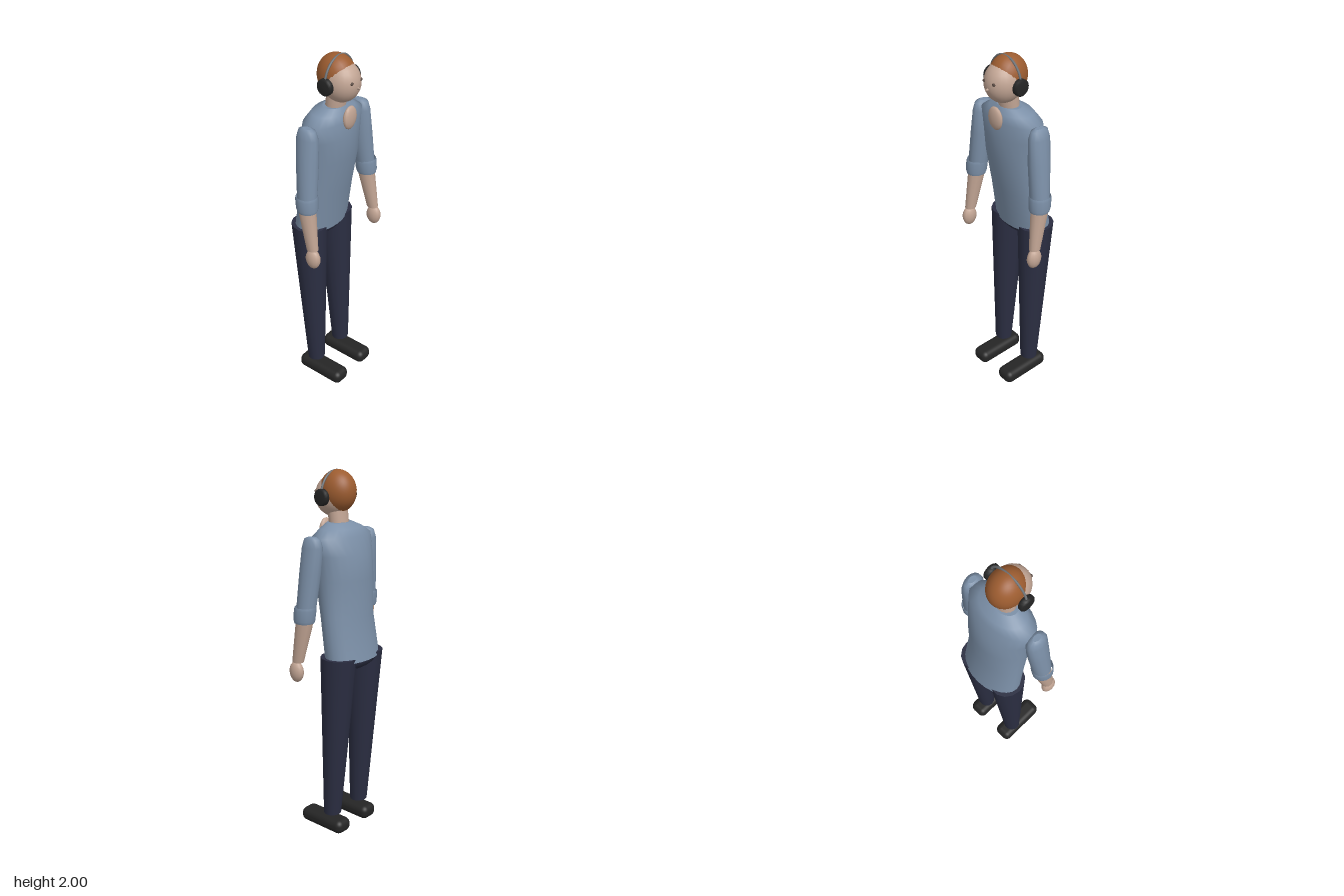
import * as THREE from 'three';
import { RoundedBoxGeometry } from 'three/addons/geometries/RoundedBoxGeometry.js';

const mat = (color, side = THREE.FrontSide) => new THREE.MeshStandardMaterial({ color, side });

// Smooth skin over elliptical rings [x, y, z, rx, rz], listed from top to bottom, with flat caps
function loft(rings, sides = 16, capped = true) {
  const pos = [], idx = [];
  const addRing = ([x, y, z, rx, rz]) => {
    for (let i = 0; i < sides; i++) {
      const a = (i / sides) * Math.PI * 2;
      pos.push(x + rx * Math.cos(a), y, z + rz * Math.sin(a));
    }
  };
  rings.forEach(addRing);
  for (let r = 0; r < rings.length - 1; r++) {
    for (let i = 0; i < sides; i++) {
      const j = (i + 1) % sides, p = r * sides, q = p + sides;
      idx.push(p + i, p + j, q + i, p + j, q + j, q + i);
    }
  }
  if (capped) {
    [rings[0], rings[rings.length - 1]].forEach((ring, end) => {
      const start = pos.length / 3;
      addRing(ring);
      pos.push(ring[0], ring[1], ring[2]);
      for (let i = 0; i < sides; i++) {
        const a = start + i, b = start + (i + 1) % sides;
        idx.push(start + sides, end ? a : b, end ? b : a);
      }
    });
  }
  const g = new THREE.BufferGeometry();
  g.setAttribute('position', new THREE.Float32BufferAttribute(pos, 3));
  g.setIndex(idx);
  g.computeVertexNormals();
  return g;
}

const ellipsoid = (rx, ry, rz, w = 24, h = 16) => new THREE.SphereGeometry(1, w, h).scale(rx, ry, rz);

export function createModel() {
  const model = new THREE.Group();
  model.name = 'standingMan';
  const skin = mat(0xc2a594), shirt = mat(0x7c90a8), cuffCloth = mat(0x7c90a8, THREE.DoubleSide);
  const trousers = mat(0x2b2e42), black = mat(0x252525), hairColor = mat(0x9c5c30);
  const metal = mat(0x6e7276), eyeColor = mat(0x5a4a42);

  const add = (name, geometry, material, x = 0, y = 0, z = 0) => {
    const m = new THREE.Mesh(geometry, material);
    m.name = name;
    m.position.set(x, y, z);
    model.add(m);
    return m;
  };

  // Shirt body, with a rounded upper back and hem leaning backwards
  add('shirt', loft([
    [0, 1.735, 0.023, 0.075, 0.055],
    [0, 1.708, 0.01, 0.135, 0.088],
    [0, 1.67, 0.008, 0.2, 0.106],
    [0, 1.58, -0.005, 0.185, 0.125],
    [0, 1.45, -0.015, 0.178, 0.13],
    [0, 1.25, -0.033, 0.175, 0.107],
    [0, 1.02, -0.07, 0.182, 0.11],
  ], 24), shirt);
  add('pelvis', ellipsoid(0.17, 0.075, 0.106), trousers, 0, 1.03, -0.07);

  // Head and face
  add('neck', loft([[0, 1.81, 0.035, 0.055, 0.05], [0, 1.69, 0.022, 0.057, 0.05]]), skin);
  add('head', ellipsoid(0.092, 0.107, 0.102), skin, 0, 1.866, 0.06);
  const nose = add('nose', new THREE.ConeGeometry(0.017, 0.04, 6), skin, 0, 1.853, 0.158);
  nose.rotation.x = Math.PI / 2;
  add('throatPiece', ellipsoid(0.05, 0.062, 0.02, 12, 10), skin, 0, 1.685, 0.115);

  // Hair cap tipped towards the back of the head
  const hair = new THREE.SphereGeometry(1, 28, 16, 0, Math.PI * 2, 0, 1.9);
  hair.rotateX(-0.75).scale(0.089, 0.11, 0.102);
  add('hair', hair, mat(0x9c5c30, THREE.DoubleSide), 0, 1.89, 0.032);

  // Headphone band over the head
  const band = [];
  for (let i = 0; i <= 12; i++) {
    const a = (i / 12) * Math.PI;
    band.push(new THREE.Vector3(0.112 * Math.cos(a), 1.87 + 0.124 * Math.sin(a), 0.047));
  }
  add('headphoneBand', new THREE.TubeGeometry(new THREE.CatmullRomCurve3(band), 32, 0.006, 8), metal);

  // Bevelled ear cup profile, turned around the sideways axis
  const cupProfile = [[0, -0.018], [0.034, -0.018], [0.043, -0.01], [0.043, 0.01], [0.034, 0.018], [0, 0.018]]
    .map(([r, h]) => new THREE.Vector2(r, h));

  for (const s of [1, -1]) {
    const side = s > 0 ? 'left' : 'right';
    add(side + 'Eye', ellipsoid(0.01, 0.008, 0.006, 10, 8), eyeColor, s * 0.035, 1.885, 0.152);
    const cup = add(side + 'EarCup', new THREE.LatheGeometry(cupProfile, 20), black, s * 0.108, 1.866, 0.047);
    cup.rotation.z = Math.PI / 2;

    // Sleeve, rolled cuff, forearm and hand
    add(side + 'Sleeve', loft([
      [s * 0.212, 1.682, 0.018, 0.015, 0.025],
      [s * 0.212, 1.672, 0.018, 0.032, 0.048],
      [s * 0.212, 1.63, 0.018, 0.042, 0.062],
      [s * 0.222, 1.5, 0.025, 0.052, 0.06],
      [s * 0.245, 1.3, 0.038, 0.05, 0.052],
    ], 14), shirt);
    add(side + 'Cuff', loft([
      [s * 0.248, 1.325, 0.038, 0.054, 0.057],
      [s * 0.249, 1.31, 0.039, 0.057, 0.06],
      [s * 0.252, 1.255, 0.043, 0.055, 0.058],
      [s * 0.252, 1.24, 0.044, 0.051, 0.054],
    ], 14, false), cuffCloth);
    add(side + 'Forearm', loft([
      [s * 0.248, 1.31, 0.04, 0.043, 0.048],
      [s * 0.253, 1.22, 0.046, 0.042, 0.048],
      [s * 0.264, 1.02, 0.083, 0.028, 0.033],
    ], 12), skin);
    add(side + 'Hand', ellipsoid(0.031, 0.058, 0.044, 12, 10), skin, s * 0.268, 0.965, 0.09);

    // Tapered trouser leg and rounded shoe
    add(side + 'Leg', loft([
      [s * 0.108, 1.04, -0.066, 0.092, 0.101],
      [s * 0.114, 0.105, -0.023, 0.05, 0.048],
    ], 14), trousers);
    add(side + 'Shoe', new RoundedBoxGeometry(0.11, 0.08, 0.3, 4, 0.035), black, s * 0.112, 0.04, 0.03);
  }
  return model;
}
